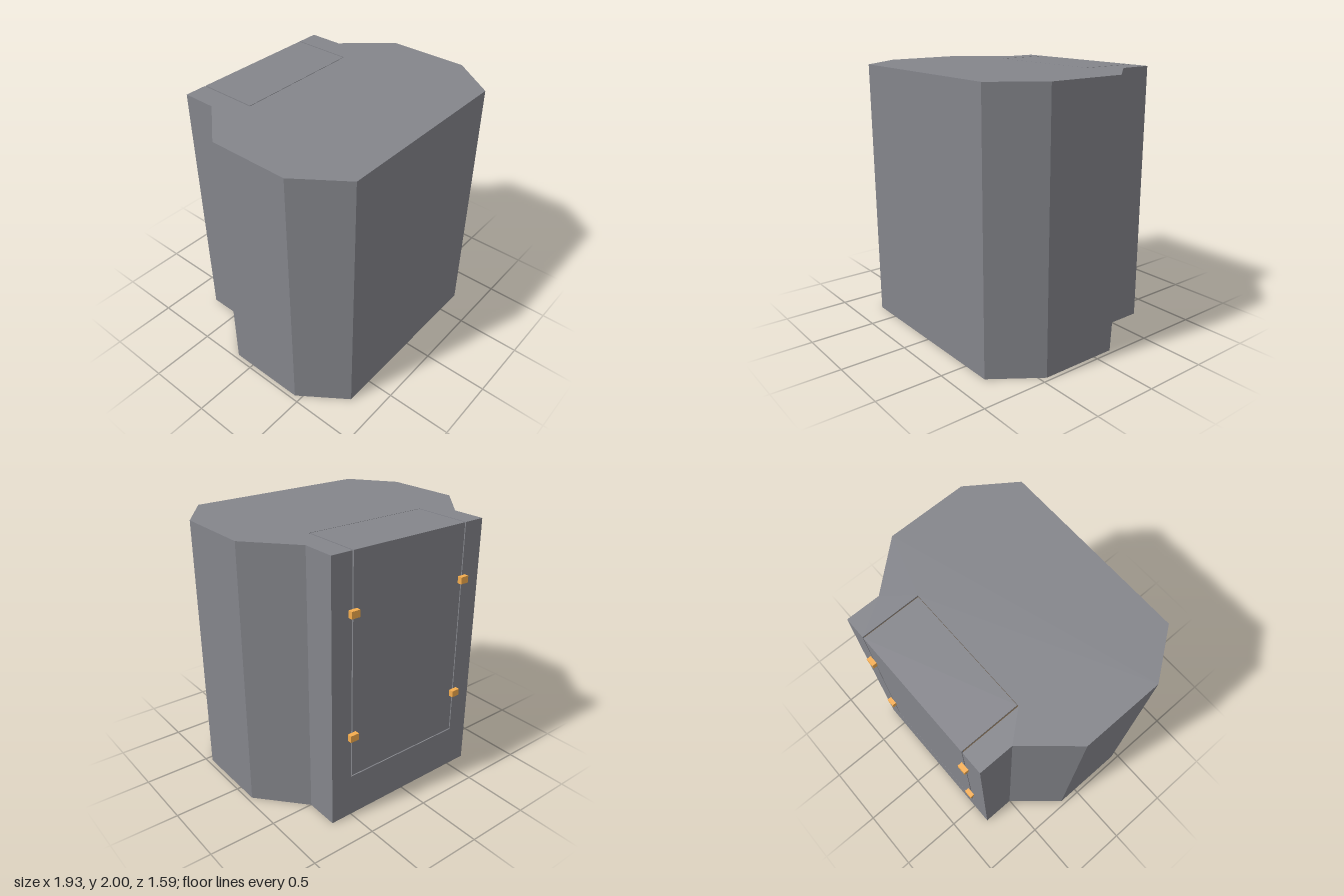
import * as THREE from 'three';

const BACK = -0.76;     // rear face
const FLOOR = 0.328;    // height of the ledge under the hatch
const RECESS_X = 0.501; // half width of the hatch recess
const RECESS_Z = -0.306;
const GAP = 0.009;      // seam around the hatch
const INSET = 0.012;    // depth of the seal below the surface

function addBox(parent, name, material, [x0, x1], [y0, y1], [z0, z1]) {
  const mesh = new THREE.Mesh(new THREE.BoxGeometry(x1 - x0, y1 - y0, z1 - z0), material);
  mesh.position.set((x0 + x1) / 2, (y0 + y1) / 2, (z0 + z1) / 2);
  mesh.name = name;
  parent.add(mesh);
}

export function createModel() {
  const model = new THREE.Group();
  model.name = 'casing';
  const steel = new THREE.MeshStandardMaterial({ color: 0x84858b, flatShading: true });
  const brass = new THREE.MeshStandardMaterial({ color: 0xf5ad4e, flatShading: true });
  const seal = new THREE.MeshStandardMaterial({ color: 0x5e4a30, flatShading: true });

  // Mirrored plan outline with the hatch recess cut into its rear, as [x, z]
  const half = [
    [0.72, 0.795], [0.967, 0.45], [0.967, -0.16], [0.667, -0.503],
    [0.667, BACK], [RECESS_X, BACK], [RECESS_X, RECESS_Z],
  ];
  const outline = [...half, ...half.map(([x, z]) => [-x, z]).reverse()];
  const shape = new THREE.Shape(outline.map(([x, z]) => new THREE.Vector2(x, -z)));
  const bodyGeometry = new THREE.ExtrudeGeometry(shape, { depth: 2, bevelEnabled: false });
  bodyGeometry.rotateX(-Math.PI / 2);
  const body = new THREE.Mesh(bodyGeometry, steel);
  body.name = 'body';
  model.add(body);

  // Solid ledge closing the recess below the hatch
  addBox(model, 'ledge', steel, [-RECESS_X, RECESS_X], [0, FLOOR], [BACK, RECESS_Z]);

  // Removable hatch block, separated from the body by a thin seam
  const hatchX = RECESS_X - GAP;
  const hatchZ = RECESS_Z - GAP / 2;
  addBox(model, 'hatch', steel, [-hatchX, hatchX], [FLOOR + GAP, 2], [BACK, hatchZ]);

  // Recessed brown seal in the seam: below, in front of and beside the hatch
  const sealY = [FLOOR, 2 - INSET];
  const sealZ = [BACK + INSET, RECESS_Z];
  addBox(model, 'bottomSeal', seal, [-hatchX, hatchX], [FLOOR, FLOOR + GAP], sealZ);
  addBox(model, 'innerSeal', seal, [-hatchX, hatchX], sealY, [hatchZ, RECESS_Z]);
  addBox(model, 'leftSeal', seal, [hatchX, RECESS_X], sealY, sealZ);
  addBox(model, 'rightSeal', seal, [-RECESS_X, -hatchX], sealY, sealZ);

  // Four brass clips bridging the seam
  for (const side of [-1, 1]) {
    for (const y of [0.669, 1.588]) {
      const x = side * (RECESS_X - GAP / 2);
      addBox(model, 'clip', brass, [x - 0.034, x + 0.034], [y - 0.026, y + 0.026], [-0.795, BACK]);
    }
  }
  return model;
}
